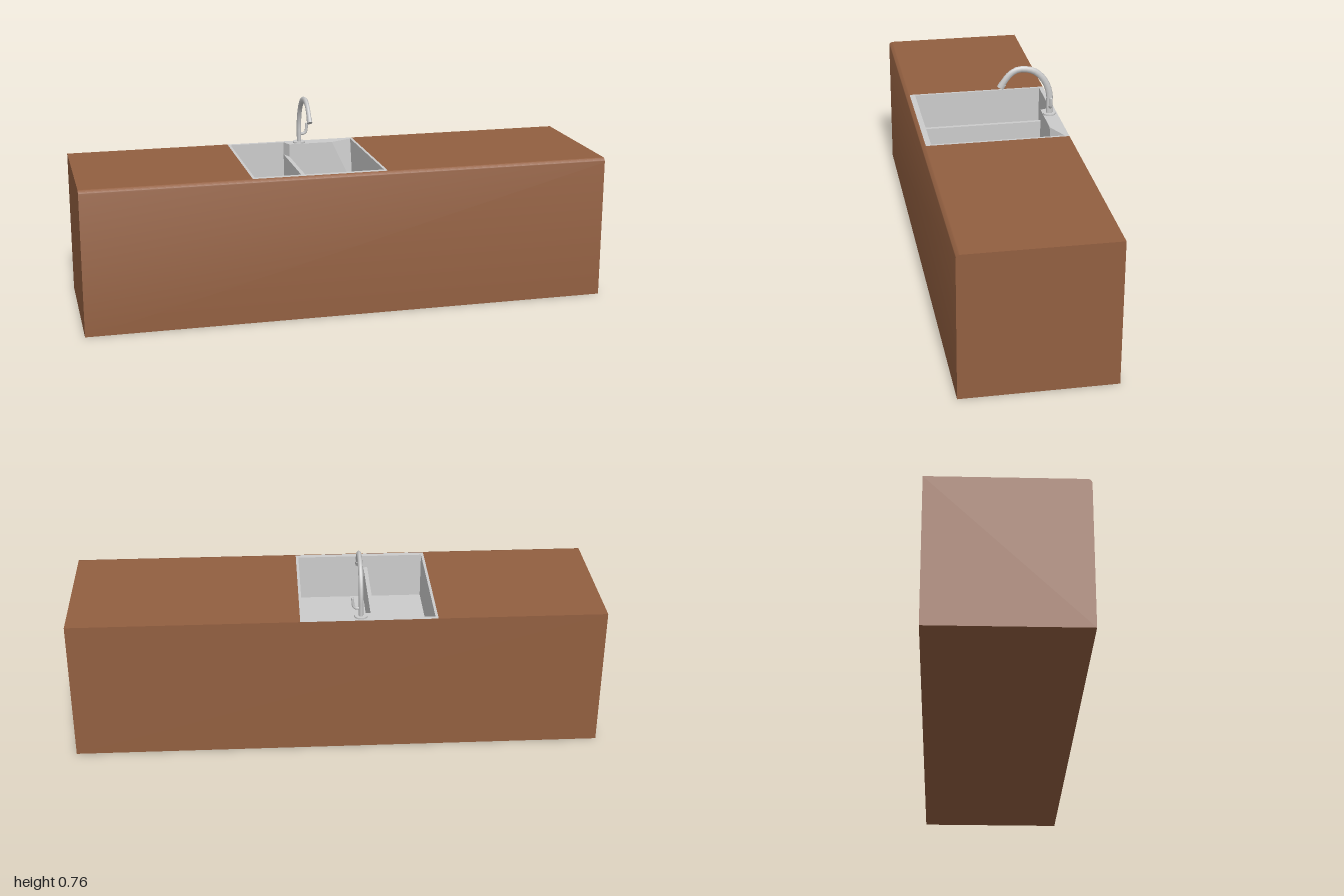
import * as THREE from 'three';
import { toCreasedNormals } from 'three/addons/utils/BufferGeometryUtils.js';

const wood = new THREE.MeshStandardMaterial({ color: 0x925f40 });
const steel = new THREE.MeshStandardMaterial({ color: 0xcccccc, side: THREE.DoubleSide });

const H = 0.55, BACK = -0.282, FRONT = 0.282, ROUND = 0.016;
const SINK_L = -0.37, SINK_R = 0.14, FLOOR = 0.37, DIVIDER_TOP = 0.5;

function add(parent, name, geometry, material) {
  const mesh = new THREE.Mesh(geometry, material);
  mesh.name = name;
  parent.add(mesh);
  return mesh;
}

// Horizontal sheet facing up, from [x, z] outlines
function sheet(outline, holes, y) {
  const flip = (pts) => pts.map(([x, z]) => new THREE.Vector2(x, -z));
  const shape = new THREE.Shape(flip(outline));
  holes.forEach((h) => shape.holes.push(new THREE.Path(flip(h))));
  return new THREE.ShapeGeometry(shape).rotateX(-Math.PI / 2).translate(0, y, 0);
}

const rect = (x0, x1, z0, z1) => [[x0, z0], [x1, z0], [x1, z1], [x0, z1]];

const hexagon = (x, z, r) => Array.from({ length: 6 }, (_, i) => {
  const a = (i + 0.5) * Math.PI / 3;
  return [x + r * Math.cos(a), z + r * Math.sin(a)];
});

// Band of quads between two rows of [x, y, z] points
function band(a, b, closed = false) {
  const pos = [];
  const count = closed ? a.length : a.length - 1;
  for (let i = 0; i < count; i++) {
    const j = (i + 1) % a.length;
    pos.push(...a[i], ...b[i], ...b[j], ...a[i], ...b[j], ...a[j]);
  }
  const g = new THREE.BufferGeometry();
  g.setAttribute('position', new THREE.Float32BufferAttribute(pos, 3));
  g.computeVertexNormals();
  return g;
}

function createCounter() {
  const counter = new THREE.Group();
  counter.name = 'counter';

  // Side profile in [z, y], with a rounded front top edge
  const profile = [[BACK, H], [BACK, 0], [FRONT, 0]];
  for (let i = 0; i <= 6; i++) {
    const a = i / 6 * Math.PI / 2;
    profile.push([FRONT - ROUND + ROUND * Math.cos(a), H - ROUND + ROUND * Math.sin(a)]);
  }
  const row = (x) => profile.map(([z, y]) => [x, y, z]);
  add(counter, 'cabinetShell', toCreasedNormals(band(row(-1), row(1)), 0.6), wood);

  // End panels
  for (const side of [-1, 1]) {
    const shape = new THREE.Shape(profile.map(([z, y]) => new THREE.Vector2(-side * z, y)));
    const g = new THREE.ShapeGeometry(shape).rotateY(side * Math.PI / 2).translate(side, 0, 0);
    add(counter, side > 0 ? 'leftEndPanel' : 'rightEndPanel', g, wood);
  }

  // Worktops on both sides of the sink
  add(counter, 'rightWorktop', sheet(rect(-1, SINK_L, BACK, FRONT - ROUND), [], H), wood);
  add(counter, 'leftWorktop', sheet(rect(SINK_R, 1, BACK, FRONT - ROUND), [], H), wood);
  return counter;
}

function createSink() {
  const sink = new THREE.Group();
  sink.name = 'sink';

  // Opening with a faucet ledge behind the wide basin
  const opening = [[-0.36, -0.265], [-0.145, -0.265], [-0.13, -0.225], [0.045, -0.225],
    [0.13, -0.265], [0.13, 0.245], [-0.36, 0.245]];
  add(sink, 'rim', sheet(rect(SINK_L, SINK_R, BACK, FRONT - ROUND), [opening], H), steel);

  // Walls; the back left corner slopes in to meet the floor
  const top = opening.map(([x, z]) => [x, H, z]);
  const bottom = opening.map(([x, z], i) => [x, FLOOR, i === 4 ? -0.225 : z]);
  add(sink, 'basinWalls', band(top, bottom, true), steel);

  // Low divider between the basins
  const divider = add(sink, 'divider', new THREE.BoxGeometry(0.015, DIVIDER_TOP - FLOOR, 0.51), steel);
  divider.position.set(-0.1375, (DIVIDER_TOP + FLOOR) / 2, -0.01);

  // Basin floors with shallow six-sided drains
  const basins = [
    ['narrowBasin', rect(-0.36, -0.145, -0.265, 0.245), hexagon(-0.25, -0.073, 0.04)],
    ['wideBasin', rect(-0.13, 0.13, -0.225, 0.245), hexagon(0, -0.073, 0.046)],
  ];
  for (const [name, outline, drain] of basins) {
    add(sink, name + 'Floor', sheet(outline, [drain], FLOOR), steel);
    const ring = (y) => drain.map(([x, z]) => [x, y, z]);
    add(sink, name + 'DrainWall', band(ring(FLOOR), ring(FLOOR - 0.008), true), steel);
    add(sink, name + 'Drain', sheet(drain, [], FLOOR - 0.008), steel);
  }
  return sink;
}

function createFaucet() {
  const faucet = new THREE.Group();
  faucet.name = 'faucet';
  faucet.position.set(-0.085, H, -0.25);

  const base = add(faucet, 'faucetBase', new THREE.CylinderGeometry(0.025, 0.025, 0.006, 12), steel);
  base.position.y = 0.003;

  // Swan-neck spout, slightly flattened sideways
  const path = [[0, 0], [0, 0.04], [0, 0.08], [0.01, 0.12], [0.03, 0.155], [0.06, 0.182],
    [0.095, 0.193], [0.125, 0.193], [0.152, 0.18], [0.177, 0.152], [0.192, 0.127]]
    .map(([z, y]) => new THREE.Vector3(0, y, z));
  const curve = new THREE.CatmullRomCurve3(path);
  const spout = add(faucet, 'spout', new THREE.TubeGeometry(curve, 20, 0.013, 8), steel);
  spout.scale.x = 0.7;

  // Nozzle at the spout end
  const tip = path[path.length - 1];
  const dir = curve.getTangent(1);
  const nozzle = add(faucet, 'nozzle', new THREE.CylinderGeometry(0.015, 0.015, 0.02, 8), steel);
  nozzle.quaternion.setFromUnitVectors(new THREE.Vector3(0, -1, 0), dir);
  nozzle.position.copy(tip).addScaledVector(dir, -0.004);
  nozzle.scale.x = 0.7;

  // Side lever bending upwards
  const lever = new THREE.CatmullRomCurve3([[0, 0.036], [0.018, 0.036], [0.027, 0.042], [0.03, 0.055], [0.031, 0.075]]
    .map(([x, y]) => new THREE.Vector3(x, y, 0)));
  add(faucet, 'lever', new THREE.TubeGeometry(lever, 10, 0.006, 6), steel);
  const cap = add(faucet, 'leverCap', new THREE.SphereGeometry(0.006, 6, 4), steel);
  cap.position.set(0.031, 0.075, 0);
  return faucet;
}

export function createModel() {
  const model = new THREE.Group();
  model.name = 'sinkCounter';
  model.add(createCounter(), createSink(), createFaucet());
  return model;
}
